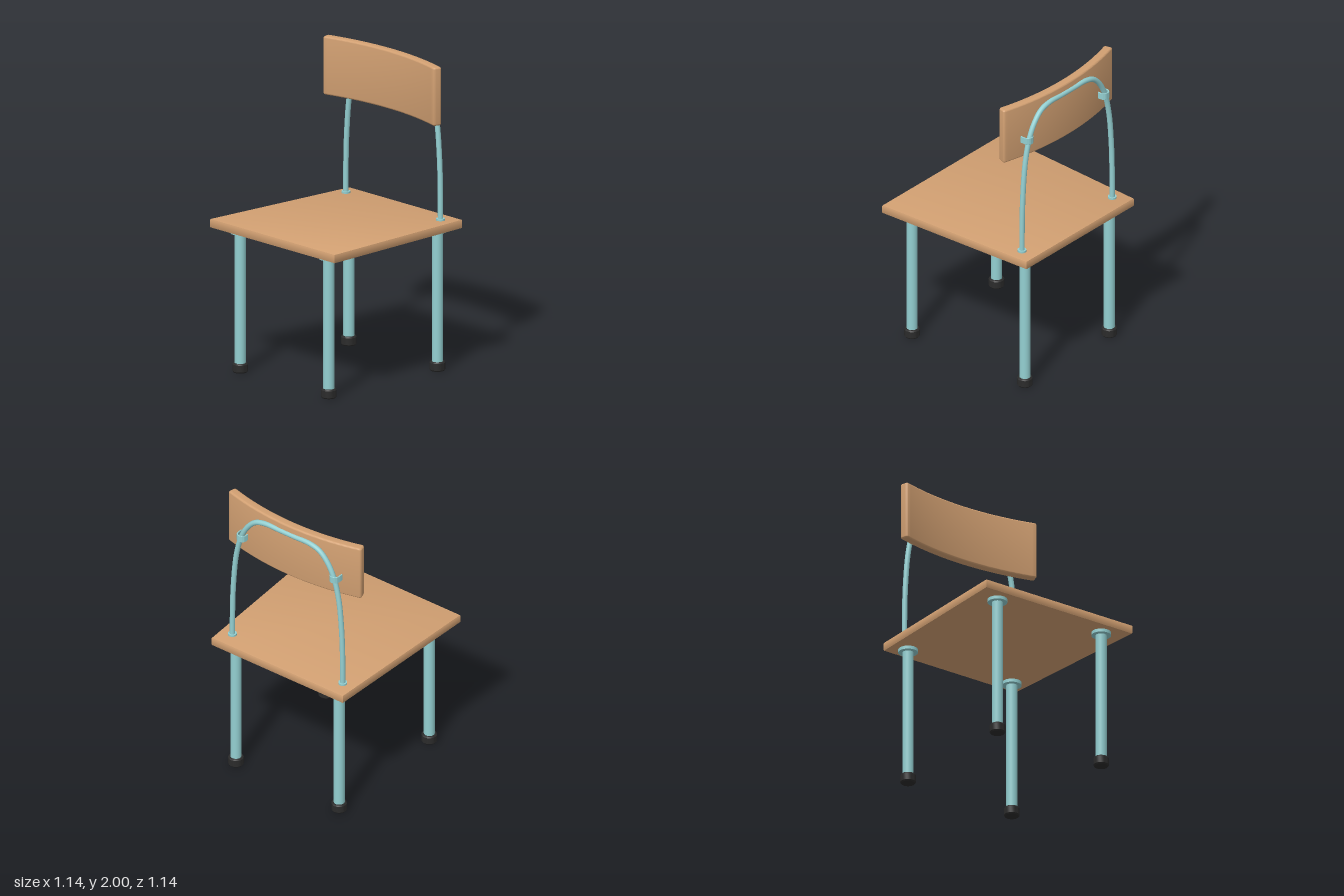
import * as THREE from 'three';
import { toCreasedNormals } from 'three/addons/utils/BufferGeometryUtils.js';

const wood = new THREE.MeshStandardMaterial({ color: 0xd2a072 });
const paint = new THREE.MeshStandardMaterial({ color: 0x93cfd1 });
const rubber = new THREE.MeshStandardMaterial({ color: 0x2b2b2b });

const LEG_X = 0.405, LEG_Z = 0.463, HOOP_Z = -0.463;

// Extrudes a plan outline (x, -z) upward from y0 to y1 with rounded rims.
function slab(shape, y0, y1, bevel, segments) {
  const geo = new THREE.ExtrudeGeometry(shape, {
    depth: y1 - y0 - 2 * bevel, bevelEnabled: true, bevelSize: bevel, bevelOffset: -bevel,
    bevelThickness: bevel, bevelSegments: segments, curveSegments: 32,
  });
  geo.rotateX(-Math.PI / 2).translate(0, y0 + bevel, 0);
  return toCreasedNormals(geo, 0.7);
}

export function createModel() {
  const chair = new THREE.Group();
  chair.name = 'chair';

  function add(name, geo, material, x = 0, y = 0, z = 0, parent = chair) {
    const mesh = new THREE.Mesh(geo, material);
    mesh.name = name;
    mesh.position.set(x, y, z);
    parent.add(mesh);
    return mesh;
  }

  // Seat: a board that narrows toward the back
  const seat = new THREE.Shape([[-0.57, -0.567], [0.57, -0.567], [0.515, 0.57], [-0.515, 0.57]]
    .map(([x, y]) => new THREE.Vector2(x, y)));
  add('seat', slab(seat, 0.92, 0.977, 0.006, 2), wood);

  // Legs with mounting flange and rubber foot
  const legGeo = new THREE.CylinderGeometry(0.035, 0.035, 0.88, 32);
  const flangeGeo = new THREE.CylinderGeometry(0.062, 0.062, 0.022, 32);
  const footGeo = toCreasedNormals(new THREE.LatheGeometry(
    [[0, 0], [0.043, 0], [0.049, 0.008], [0.049, 0.052], [0.043, 0.06], [0, 0.06]]
      .map(([x, y]) => new THREE.Vector2(x, y)), 32), 0.6);
  for (const sx of [1, -1]) {
    for (const sz of [1, -1]) {
      const leg = new THREE.Group();
      leg.name = (sz > 0 ? 'front' : 'back') + (sx > 0 ? 'LeftLeg' : 'RightLeg');
      leg.position.set(sx * LEG_X, 0, sz * LEG_Z);
      chair.add(leg);
      add('legTube', legGeo, paint, 0, 0.475, 0, leg);
      add('legFlange', flangeGeo, paint, 0, 0.91, 0, leg);
      add('foot', footGeo, rubber, 0, 0, 0, leg);
    }
  }

  // Bent tube hoop that carries the backrest
  const half = [[0.433, 0.96], [0.432, 1.15], [0.425, 1.36], [0.402, 1.6], [0.365, 1.75],
    [0.315, 1.85], [0.25, 1.915], [0.17, 1.938], [0.06, 1.938]];
  const path = [...half, ...half.map(([x, y]) => [-x, y]).reverse()]
    .map(([x, y]) => new THREE.Vector3(x, y, HOOP_Z));
  add('backHoop', new THREE.TubeGeometry(new THREE.CatmullRomCurve3(path), 120, 0.017, 16), paint);

  // Backrest: curved board, concave toward the sitter
  const R = 1.87, T = 0.058, A = 0.283, cy = 0.465 - R - T / 2 + T / 2;
  const back = new THREE.Shape();
  const at = (r, a) => [r * Math.sin(a), cy + r * Math.cos(a)];
  const e = 0.009; // angular inset of the rounded ends
  back.moveTo(...at(R, -A + e));
  back.absarc(0, cy, R, Math.PI / 2 + A - e, Math.PI / 2 - A + e, true);
  back.quadraticCurveTo(...at(R, A), ...at(R - 0.016, A));
  back.lineTo(...at(R - T + 0.016, A));
  back.quadraticCurveTo(...at(R - T, A), ...at(R - T, A - e));
  back.absarc(0, cy, R - T, Math.PI / 2 - A + e, Math.PI / 2 + A - e, false);
  back.quadraticCurveTo(...at(R - T, -A), ...at(R - T + 0.016, -A));
  back.lineTo(...at(R - 0.016, -A));
  back.quadraticCurveTo(...at(R, -A), ...at(R, -A + e));
  add('backrest', slab(back, 1.622, 2, 0.012, 4), wood);

  // Strap clamps that hold the backrest to the hoop, and collars at the hoop base
  const strap = new THREE.Shape();
  strap.moveTo(0.034, -0.04);
  strap.lineTo(0.034, -0.008);
  strap.absarc(0, -0.008, 0.034, 0, Math.PI, false);
  strap.lineTo(-0.034, -0.04);
  strap.lineTo(-0.026, -0.04);
  strap.lineTo(-0.026, -0.008);
  strap.absarc(0, -0.008, 0.026, Math.PI, 0, true);
  strap.lineTo(0.026, -0.04);
  const strapGeo = slab(strap, 1.73, 1.775, 0.001, 1);
  const collarGeo = new THREE.CylinderGeometry(0.028, 0.028, 0.014, 32);
  for (const s of [1, -1]) {
    const side = s > 0 ? 'left' : 'right';
    add(side + 'Clamp', strapGeo, paint, s * 0.364, 0, HOOP_Z + 0.002);
    add(side + 'HoopCollar', collarGeo, paint, s * 0.433, 0.982, HOOP_Z);
  }
  return chair;
}
